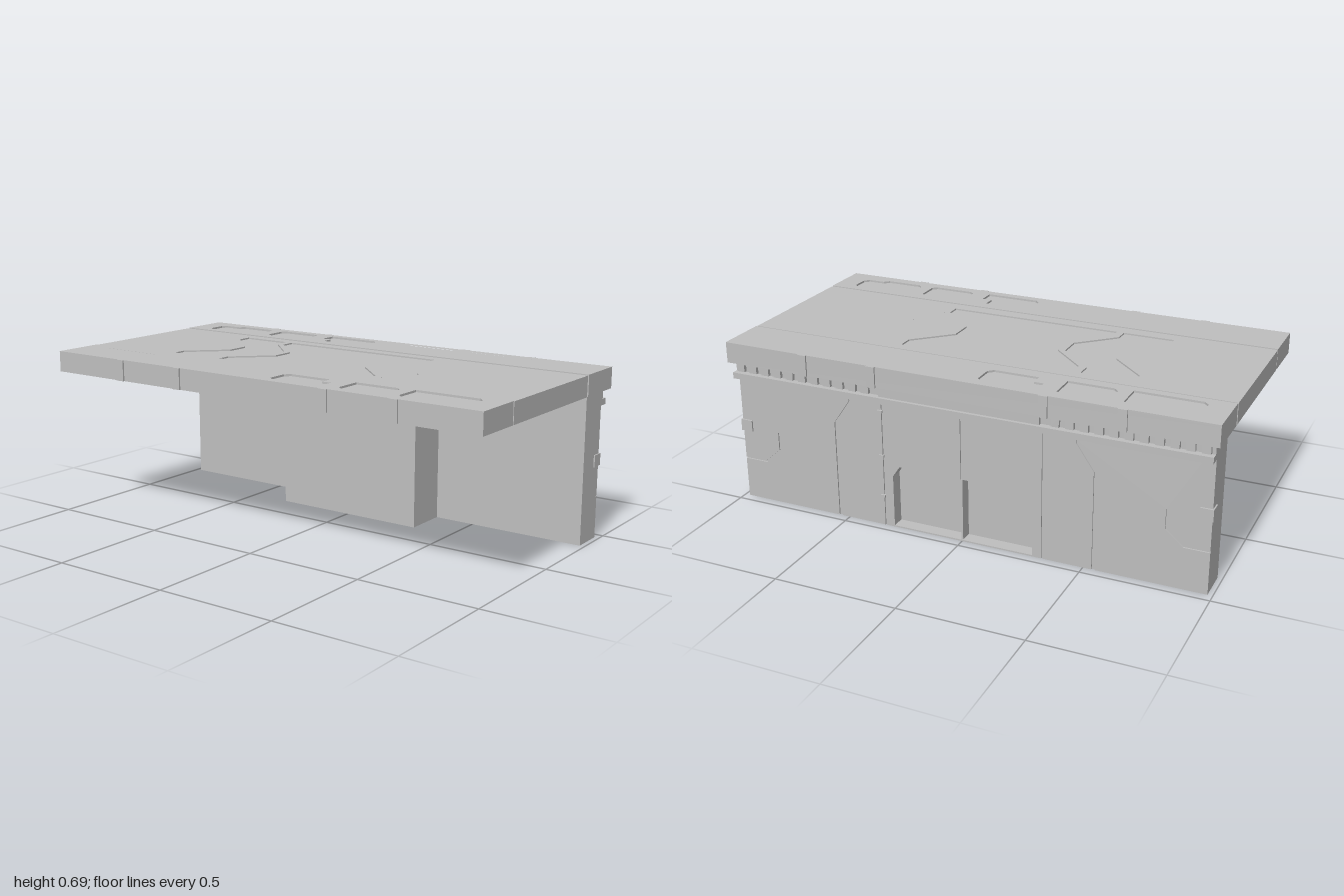
import * as THREE from 'three';

const grey = new THREE.MeshStandardMaterial({ color: 0xbebebe });
grey.name = 'plain grey';

export function createModel() {
  const model = new THREE.Group();
  model.name = 'walkway';

  const add = (name, geo) => {
    const mesh = new THREE.Mesh(geo, grey);
    mesh.name = name;
    model.add(mesh);
    return mesh;
  };
  // Box from its minimum and maximum corners
  const box = (name, x0, x1, y0, y1, z0, z1) => {
    const g = new THREE.BoxGeometry(x1 - x0, y1 - y0, z1 - z0);
    g.translate((x0 + x1) / 2, (y0 + y1) / 2, (z0 + z1) / 2);
    return add(name, g);
  };
  const toShape = (pts, holes = []) => {
    const v = (list) => list.map(([a, b]) => new THREE.Vector2(a, -b));
    const s = new THREE.Shape(v(pts));
    s.holes = holes.map((h) => new THREE.Path(v(h)));
    return s;
  };
  const extrude = (shape, depth) =>
    new THREE.ExtrudeGeometry(shape, { depth, bevelEnabled: false });
  // Horizontal plate: points are [x, z]
  const floorPlate = (name, pts, holes, y0, y1) => {
    const g = extrude(toShape(pts, holes), y1 - y0);
    g.rotateX(-Math.PI / 2).translate(0, y0, 0);
    return add(name, g);
  };
  // Upright plate facing +x: points are [z, y]
  const wallPlate = (name, pts, x0, x1) => {
    const g = extrude(toShape(pts.map(([z, y]) => [-z, -y])), x1 - x0);
    g.rotateY(Math.PI / 2).translate(x0, 0, 0);
    return add(name, g);
  };
  const rect = (a0, a1, b0, b1) => [[a0, b0], [a1, b0], [a1, b1], [a0, b1]];
  const flipZ = (pts, s) => pts.map(([x, z]) => [x, z * s]);

  // ---- Walkway: three planks with open slots between them ----
  const Y0 = 0.6, Y1 = 0.677, Y2 = 0.685;

  // Side strips with six shallow pockets each and edge pads
  for (const sx of [-1, 1]) {
    const pockets = [];
    for (const sz of [-1, 1]) {
      const outer = [
        [0.33, 0.63], [0.44, 0.63], [0.46, 0.65], [0.46, 0.8], [0.44, 0.82],
        [0.44, 0.89], [0.42, 0.91], [0.35, 0.91], [0.33, 0.89],
      ];
      const middle = [
        [0.34, 0.38], [0.45, 0.38], [0.465, 0.4], [0.465, 0.56], [0.45, 0.58], [0.36, 0.58], [0.34, 0.56],
      ];
      const inner = [
        [0.37, 0.07], [0.45, 0.07], [0.47, 0.09], [0.47, 0.31], [0.4, 0.31],
        [0.4, 0.27], [0.35, 0.27], [0.35, 0.09],
      ];
      for (const p of [outer, middle, inner])
        pockets.push(p.map(([x, z]) => [x * sx, z * sz]));
      for (const z of [0.35, 0.65]) {
        const a = sx * 0.5, b = sx * 0.512;
        box('edgePad', Math.min(a, b), Math.max(a, b), Y0, Y2, sz * z - 0.018, sz * z + 0.018);
      }
    }
    const x0 = sx < 0 ? -0.505 : 0.297, x1 = sx < 0 ? -0.299 : 0.505;
    box('sideStripBase', x0, x1, Y0, Y1, -1, 1);
    floorPlate('sideStripTop', rect(x0, x1, -1, 1), pockets, Y1, Y2);
  }

  // Centre deck with a field and two wavy bands sunk into it
  const wave = (zEdge, zMid) => [
    [-0.24, zEdge], [-0.185, zEdge], [-0.05, zMid], [0.045, zMid], [0.18, zEdge], [0.24, zEdge],
  ];
  const band = [...wave(0.39, 0.25), ...wave(0.6, 0.46).reverse()];
  const field = [...wave(0.36, 0.22), ...flipZ(wave(0.36, 0.22), -1).reverse()];
  box('deckBase', -0.294, 0.287, Y0, Y1, -1, 1);
  floorPlate('deckTop', rect(-0.294, 0.287, -1, 1), [field, band, flipZ(band, -1)], Y1, 0.683);

  // ---- Supporting wall ----
  box('wallCore', 0.33, 0.41, 0, 0.6, -0.98, 0.98);
  box('rearButtress', 0.15, 0.33, 0, 0.605, -0.33, 0.33);

  // Layer around the doorway recess
  wallPlate('wallLayer', [
    [-0.98, 0], [-0.295, 0], [-0.295, 0.22], [-0.265, 0.265], [0.265, 0.265],
    [0.295, 0.22], [0.295, 0], [0.98, 0], [0.98, 0.6], [-0.98, 0.6],
  ], 0.41, 0.457);
  box('doorSill', 0.41, 0.463, 0, 0.006, -0.295, 0.295);
  box('doorPost', 0.41, 0.46, 0, 0.265, -0.004, 0.004);

  // Facing panels, separated by narrow grooves
  const panels = {
    doorPanel: [
      [0.002, 0.265], [0.265, 0.265], [0.295, 0.22], [0.295, 0], [0.331, 0], [0.331, 0.6], [0.002, 0.6],
    ],
    middlePanel: [[0.337, 0], [0.534, 0], [0.534, 0.4], [0.465, 0.5], [0.465, 0.6], [0.337, 0.6]],
    endPanel: [
      [0.548, 0], [0.98, 0], [0.98, 0.17], [0.88, 0.17], [0.81, 0.23], [0.81, 0.31],
      [0.816, 0.31], [0.816, 0.234], [0.882, 0.176], [0.98, 0.176], [0.98, 0.6],
      [0.479, 0.6], [0.479, 0.505], [0.548, 0.405],
    ],
  };
  for (const s of [-1, 1]) {
    for (const [name, pts] of Object.entries(panels))
      wallPlate(name, pts.map(([z, y]) => [z * s, y]), 0.457, 0.463);

    // Latch wrapping each end of the wall
    const z0 = s > 0 ? 0.935 : -0.985, z1 = s > 0 ? 0.985 : -0.935;
    box('endLatch', 0.42, 0.47, 0.297, 0.345, z0, z1);

    // Blocks beneath the overhang
    for (let i = 0; i < 11; i++) {
      const z = s * (0.39 + i * 0.056);
      box('corniceBlock', 0.47, 0.49, 0.563, 0.598, z - 0.016, z + 0.016);
    }
  }

  // Cornice
  box('corniceBack', 0.45, 0.476, 0.56, 0.6, -0.98, 0.98);
  box('corniceMiddle', 0.45, 0.49, 0.56, 0.6, -0.33, 0.33);
  box('corniceRail', 0.45, 0.503, 0.535, 0.56, -0.98, 0.98);

  // Small hinge clips beside the doorway
  for (const y of [0.128, 0.3, 0.488]) box('hingeClip', 0.455, 0.47, y - 0.005, y + 0.005, 0.33, 0.35);

  return model;
}
